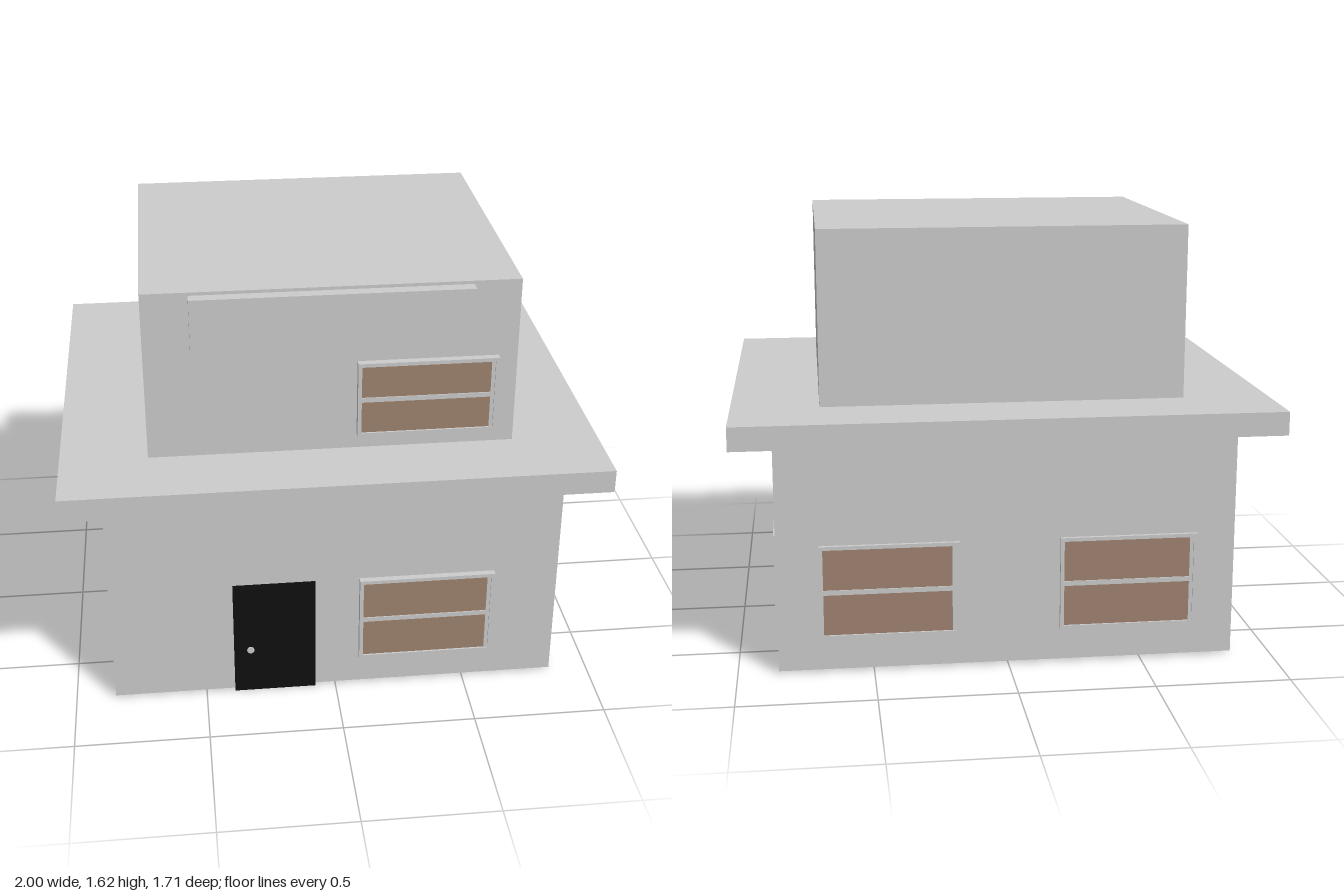
import * as THREE from 'three';

const grey = new THREE.MeshStandardMaterial({ color: 0xcccccc });
const brown = new THREE.MeshStandardMaterial({ color: 0x9e826f });
const black = new THREE.MeshStandardMaterial({ color: 0x0f0f0f });

// Box given by its lower and upper limits on each axis
function box(parent, name, [x0, x1], [y0, y1], [z0, z1], material = grey) {
  const mesh = new THREE.Mesh(new THREE.BoxGeometry(x1 - x0, y1 - y0, z1 - z0), material);
  mesh.position.set((x0 + x1) / 2, (y0 + y1) / 2, (z0 + z1) / 2);
  mesh.name = name;
  parent.add(mesh);
  return mesh;
}

// Window facing +z, centred on x and y, with its back at z = 0
function createWindow(height) {
  const g = new THREE.Group();
  g.name = 'window';
  const w = 0.2575, h = height / 2, depth = 0.028, t = 0.014;
  box(g, 'pane', [-w + t, w - 2 * t], [-h + t, h - t], [0.004, 0.021], brown);
  box(g, 'leftJamb', [-w, -w + t], [-h, h], [0, depth]);
  box(g, 'innerRightJamb', [w - 2 * t, w - t], [-h + t, h - t], [0, 0.024]);
  box(g, 'rightJamb', [w - t, w], [-h, h], [0, depth]);
  for (const s of [-1, 1]) {
    const y = s * (h - t / 2);
    box(g, s < 0 ? 'sill' : 'lintel', [-w + t, w - t], [y - t / 2, y + t / 2], [0, depth]);
  }
  box(g, 'middleBar', [-w + t, w - 2 * t], [-0.009, 0.009], [0.004, 0.025]);
  return g;
}

export function createModel() {
  const house = new THREE.Group();
  house.name = 'house';

  // Two storeys with an overhanging slab between them
  box(house, 'lowerStorey', [-0.85, 0.85], [0.01, 0.865], [-0.725, 0.73]);
  box(house, 'roofSlab', [-1, 1], [0.88, 0.968], [-0.855, 0.855]);
  box(house, 'upperStorey', [-0.677, 0.677], [0.968, 1.615], [-0.58, 0.58]);
  box(house, 'signBoard', [-0.508, 0.505], [1.382, 1.603], [0.58, 0.624]);

  // Door with a round flat knob
  box(house, 'door', [-0.39, -0.078], [0, 0.485], [0.725, 0.736], black);
  const knob = new THREE.Mesh(new THREE.CylinderGeometry(0.014, 0.014, 0.006, 16), grey);
  knob.rotation.x = Math.PI / 2;
  knob.position.set(-0.327, 0.19, 0.737);
  knob.name = 'doorKnob';
  house.add(knob);

  // Windows: name, x, y, z of the back, turn about y, height
  const q = Math.PI / 2;
  const windows = [
    ['frontWindow', 0.347, 0.308, 0.727, 0, 0.355],
    ['upperWindow', 0.347, 1.178, 0.589, 0, 0.295],
    ['backWindow', 0.438, 0.308, -0.71, 2 * q, 0.355],
    ['backWindow', -0.45, 0.308, -0.71, 2 * q, 0.355],
    ['leftWindow', 0.832, 0.308, 0.293, q, 0.355],
    ['leftWindow', 0.832, 0.308, -0.328, q, 0.355],
    ['rightWindow', -0.834, 0.308, 0.3, -q, 0.355],
    ['rightWindow', -0.834, 0.308, -0.322, -q, 0.355],
  ];
  for (const [name, x, y, z, turn, height] of windows) {
    const win = createWindow(height);
    win.name = name;
    win.position.set(x, y, z);
    win.rotation.y = turn;
    house.add(win);
  }
  return house;
}
